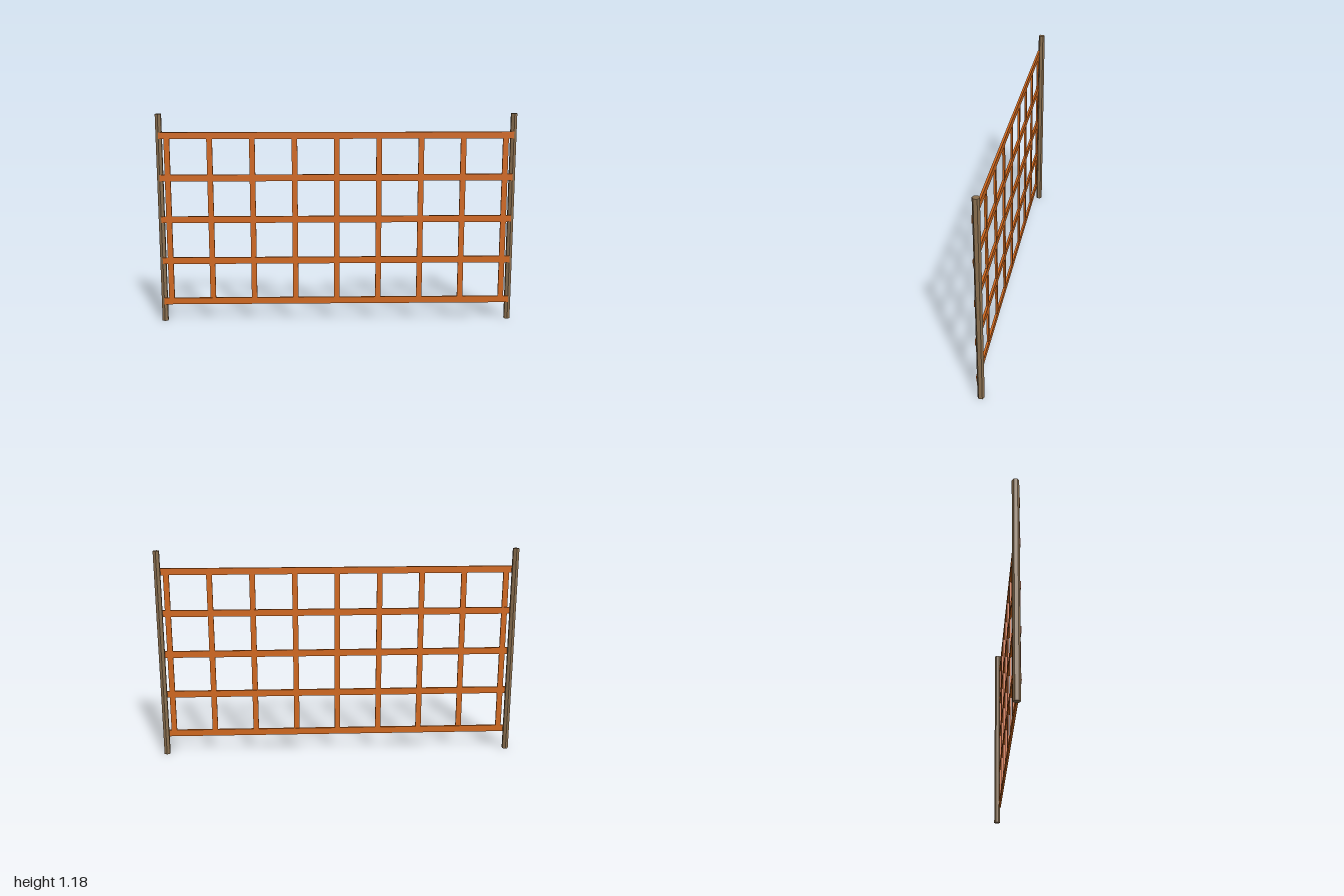
import * as THREE from 'three';

export function createModel() {
  const group = new THREE.Group();
  group.name = 'latticeFence';

  const postWood = new THREE.MeshStandardMaterial({ color: 0x8b7050, flatShading: true });
  postWood.name = 'weathered brown';
  const slatWood = new THREE.MeshStandardMaterial({ color: 0xd2691e });
  slatWood.name = 'orange wood';

  function add(name, geometry, material, x, y, z) {
    const mesh = new THREE.Mesh(geometry, material);
    mesh.name = name;
    mesh.position.set(x, y, z);
    group.add(mesh);
  }

  // Hexagonal end posts
  const postHeight = 1.18, postX = 0.984;
  const post = new THREE.CylinderGeometry(0.0185, 0.0185, postHeight, 6);
  add('leftPost', post, postWood, postX, postHeight / 2, -0.002);
  add('rightPost', post, postWood, -postX, postHeight / 2, -0.002);

  // Horizontal rails, fixed to the front of the posts
  const railCount = 5, lowY = 0.1185, highY = 1.0615;
  const rail = new THREE.BoxGeometry(2 * postX, 0.037, 0.012);
  for (let i = 0; i < railCount; i++) {
    const y = lowY + (highY - lowY) * i / (railCount - 1);
    add('rail' + (i + 1), rail, slatWood, 0, y, 0.0145);
  }

  // Upright slats, slightly thinner than the rails
  const slatCount = 9, slatX = 0.94;
  const slat = new THREE.BoxGeometry(0.031, highY - lowY, 0.010);
  for (let i = 0; i < slatCount; i++) {
    const x = -slatX + 2 * slatX * i / (slatCount - 1);
    add('slat' + (i + 1), slat, slatWood, x, (lowY + highY) / 2, 0.0145);
  }

  return group;
}
